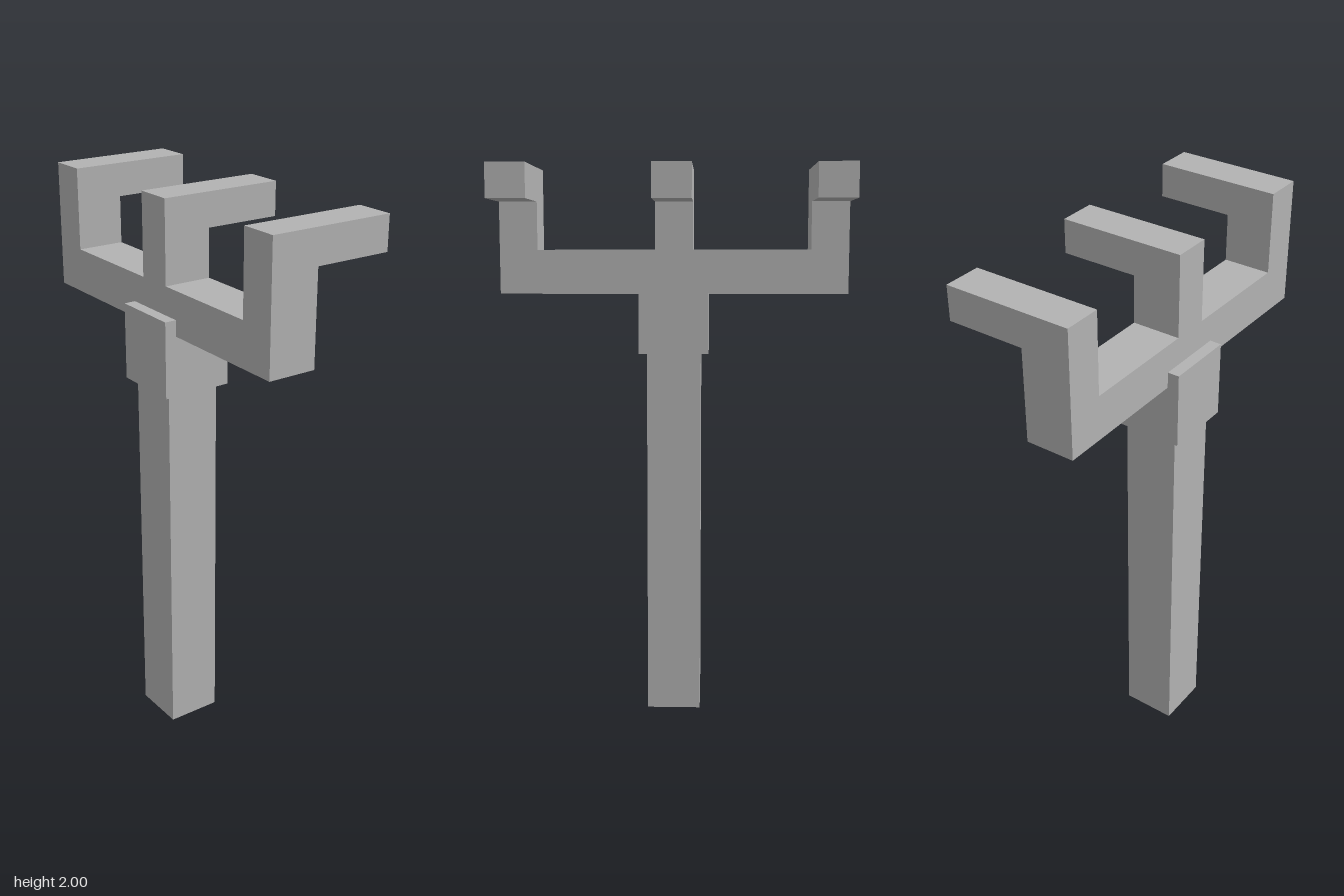
import * as THREE from 'three';

export function createModel() {
  const model = new THREE.Group();
  model.name = 'forkedPost';
  const grey = new THREE.MeshStandardMaterial({ color: 0xb2b2b2 });
  grey.name = 'grey';

  // Box given by its lower and upper limits on each axis
  function box(name, [x0, x1], [y0, y1], [z0, z1]) {
    const mesh = new THREE.Mesh(new THREE.BoxGeometry(x1 - x0, y1 - y0, z1 - z0), grey);
    mesh.position.set((x0 + x1) / 2, (y0 + y1) / 2, (z0 + z1) / 2);
    mesh.name = name;
    model.add(mesh);
  }

  // Post and the collar around its top
  box('post', [-0.099, 0.096], [0, 1.34], [0.021, 0.217]);
  box('collar', [-0.127, 0.124], [1.34, 1.61], [-0.008, 0.246]);

  // Crossbar with three upright prongs, cut as one profile
  const prongs = [[-0.627, -0.492], [-0.07, 0.066], [0.489, 0.625]];
  const bottom = 1.553, barTop = 1.71, top = 2, back = 0.03, front = 0.204;
  const profile = new THREE.Shape();
  profile.moveTo(prongs[0][0], bottom);
  profile.lineTo(prongs[2][1], bottom);
  for (const [x0, x1] of [...prongs].reverse()) {
    if (x1 !== prongs[2][1]) profile.lineTo(x1, barTop);
    profile.lineTo(x1, top);
    profile.lineTo(x0, top);
    if (x0 !== prongs[0][0]) profile.lineTo(x0, barTop);
  }
  profile.closePath();
  const fork = new THREE.Mesh(
    new THREE.ExtrudeGeometry(profile, { depth: front - back, bevelEnabled: false }), grey);
  fork.position.z = back;
  fork.name = 'fork';
  model.add(fork);

  // Hooks running backwards from the prong tips
  const names = ['rightHook', 'middleHook', 'leftHook'];
  prongs.forEach((span, i) => box(names[i], span, [1.88, top], [-0.246, back]));

  return model;
}
